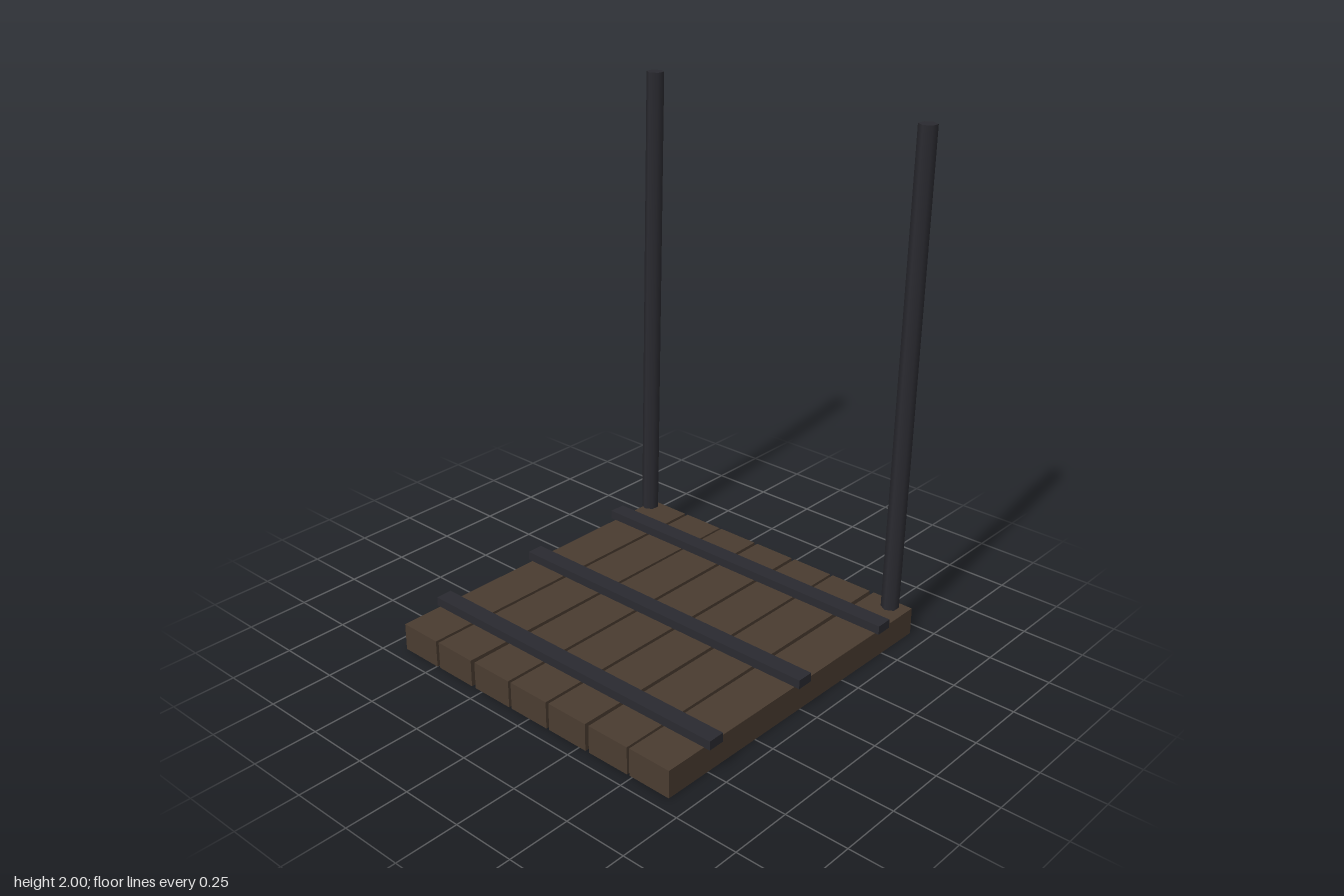
import * as THREE from 'three';

export function createModel() {
  const model = new THREE.Group();
  const wood = new THREE.MeshStandardMaterial({ color: 0x4a3c30 });
  const iron = new THREE.MeshStandardMaterial({ color: 0x2a2a30 });

  const add = (name, geometry, material, x, y, z) => {
    const mesh = new THREE.Mesh(geometry, material);
    mesh.name = name;
    mesh.position.set(x, y, z);
    model.add(mesh);
    return mesh;
  };

  // Seven planks, each slightly out of true
  const skew = [0.008, 0.009, 0.002, 0.004, 0.006, 0.003, 0.009];
  skew.forEach((angle, i) => {
    const plank = add('plank', new THREE.BoxGeometry(0.18, 0.11, 1.385), wood, (i - 3) * 0.194, 0.055, 0);
    plank.rotation.y = -angle;
  });

  // Three iron straps across the planks
  for (const z of [-0.485, 0, 0.485]) {
    add('crossStrap', new THREE.BoxGeometry(1.384, 0.036, 0.068), iron, 0, 0.127, z);
  }

  // Two hexagonal rods at the back corners, leaning backward
  for (const x of [-0.627, 0.622]) {
    const rod = add('rod', new THREE.CylinderGeometry(0.035, 0.035, 1.873, 6), iron, x, 1.063, -0.642);
    rod.rotation.x = -0.02;
  }

  return model;
}
